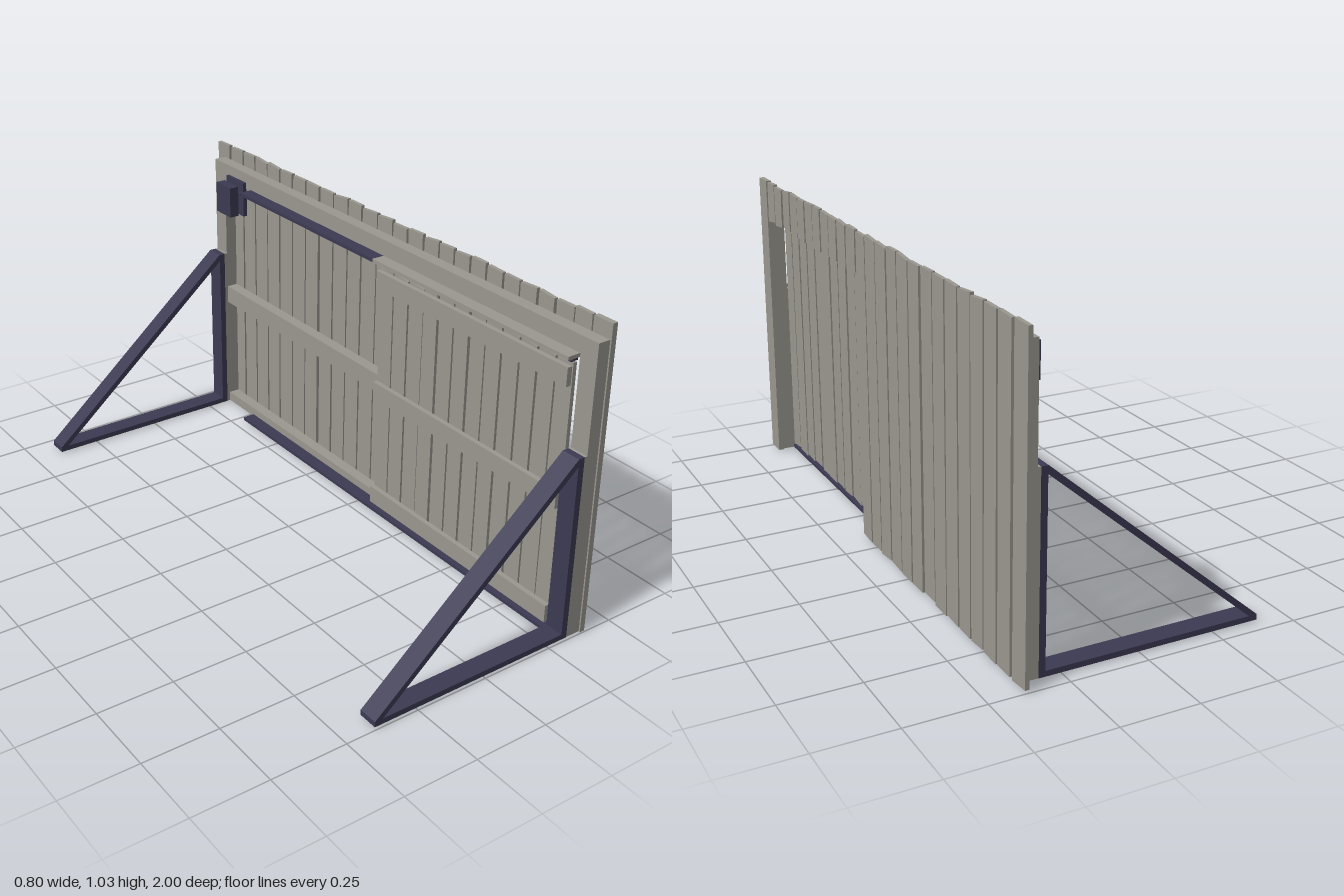
import * as THREE from 'three';

const wood = new THREE.MeshStandardMaterial({ color: 0x9b9890 });
wood.name = 'weathered grey wood';
const iron = new THREE.MeshStandardMaterial({ color: 0x3c3a52 });
iron.name = 'dark iron';

let seed = 7;
const rand = () => (seed = (seed * 16807) % 2147483647) / 2147483647;
const jitter = (a) => (rand() - 0.5) * 2 * a;

export function createModel() {
  const root = new THREE.Group();
  root.name = 'slidingGate';

  const add = (name, geometry, material, parent = root) => {
    const mesh = new THREE.Mesh(geometry, material);
    mesh.name = name;
    parent.add(mesh);
    return mesh;
  };

  // Box given by its limits on each axis
  const box = (name, material, x0, x1, y0, y1, z0, z1, parent) => {
    const mesh = add(name, new THREE.BoxGeometry(x1 - x0, y1 - y0, z1 - z0), material, parent);
    mesh.position.set((x0 + x1) / 2, (y0 + y1) / 2, (z0 + z1) / 2);
    return mesh;
  };

  // Rough plank: a box whose four edges are pushed slightly out of square
  const plank = (name, parent, x0, x1, y0, y1, z0, z1, rough) => {
    const g = new THREE.BoxGeometry(1, 1, 1);
    const p = g.attributes.position;
    const shift = [0, 1, 2, 3].map(() => [jitter(rough), rand() * rough]);
    for (let i = 0; i < p.count; i++) {
      const top = p.getY(i) > 0, front = p.getZ(i) > 0;
      const [dy, dz] = shift[(top ? 2 : 0) + (front ? 1 : 0)];
      p.setXYZ(i, p.getX(i) > 0 ? x1 : x0,
        (top ? y1 : y0) + dy,
        front ? z1 - dz : z0 + dz);
    }
    g.computeVertexNormals();
    return add(name, g, wood, parent);
  };

  const plankRow = (name, count, x, thick, y0, y1, z0, z1, rough, gap) => {
    const row = new THREE.Group();
    row.name = name;
    root.add(row);
    const pitch = (z1 - z0) / count;
    for (let i = 0; i < count; i++) {
      const dx = rand() * 0.005;
      plank('plank', row, x + dx, x + dx + thick, y0, y1,
        z0 + i * pitch + (i ? gap : 0), z0 + (i + 1) * pitch, rough);
    }
  };

  // Outer cladding: fixed half, end plank, short planks above the opening
  plankRow('fixedPlanks', 14, 0.377, 0.013, 0.008, 1.028, -1, 0.112, 0.005, 0.003);
  plankRow('lintelPlanks', 11, 0.377, 0.013, 0.89, 1.028, 0.116, 0.924, 0.005, 0.003);
  box('endPlank', wood, 0.377, 0.395, 0.008, 1.03, 0.928, 1);

  // Fixed frame
  const frame = new THREE.Group();
  frame.name = 'frame';
  root.add(frame);
  for (const [z0, z1] of [[-0.955, -0.89], [0.04, 0.105], [0.93, 0.995]]) {
    box('post', wood, 0.335, 0.377, 0.01, 0.92, z0, z1, frame);
  }
  box('topBeam', wood, 0.335, 0.377, 0.915, 0.98, -0.955, 0.995, frame);
  box('middleRail', wood, 0.337, 0.377, 0.43, 0.495, -0.89, 0.04, frame);
  box('bottomRail', wood, 0.337, 0.377, 0.01, 0.045, -0.89, 0.04, frame);

  // Sliding door with three horizontal rails
  plankRow('doorPlanks', 12, 0.317, 0.013, 0.032, 0.895, 0.055, 0.925, 0.005, 0.002);
  for (const y of [0.03, 0.43, 0.827]) {
    box('doorRail', wood, 0.3, 0.317, y, y + 0.06, 0.06, 0.922);
  }

  // Tracks that the door runs along
  box('topTrack', iron, 0.29, 0.335, 0.914, 0.926, -0.72, 0.05);
  box('trackCover', wood, 0.29, 0.335, 0.914, 0.926, 0.05, 0.93);
  box('coverUnderside', iron, 0.31, 0.328, 0.907, 0.914, 0.05, 0.93);
  box('bottomTrack', iron, 0.29, 0.335, 0.009, 0.02, -0.72, 0.93);

  // Drive chain below the top track
  const chain = new THREE.Group();
  chain.name = 'chain';
  root.add(chain);
  for (let i = 0; i < 70; i++) {
    const z = -0.77 + i * 0.0243;
    box('chainLink', iron, 0.311, 0.323, 0.901, 0.907, z, z + 0.016, chain);
  }

  // Motor housing and its mounting plate
  box('motorBox', iron, 0.272, 0.307, 0.823, 0.933, -0.85, -0.76);
  box('motorShaft', iron, 0.307, 0.322, 0.85, 0.91, -0.825, -0.785);
  box('motorPlate', iron, 0.322, 0.337, 0.82, 0.945, -0.862, -0.75);

  // Triangular braces at both ends
  const brace = new THREE.Shape([
    [-0.4, 0.009], [0.325, 0.009], [0.325, 0.629], [0.303, 0.629], [-0.4, 0.027],
  ].map(([x, y]) => new THREE.Vector2(x, y)));
  brace.holes.push(new THREE.Path([
    [-0.372, 0.027], [0.304, 0.604], [0.304, 0.027],
  ].map(([x, y]) => new THREE.Vector2(x, y))));
  for (const z of [-0.955, 0.93]) {
    const mesh = add('brace', new THREE.ExtrudeGeometry(brace, { depth: 0.065, bevelEnabled: false }), iron);
    mesh.position.z = z;
    box('braceBracket', wood, 0.325, 0.335, 0.01, 0.629, z, z + 0.065);
  }

  return root;
}
